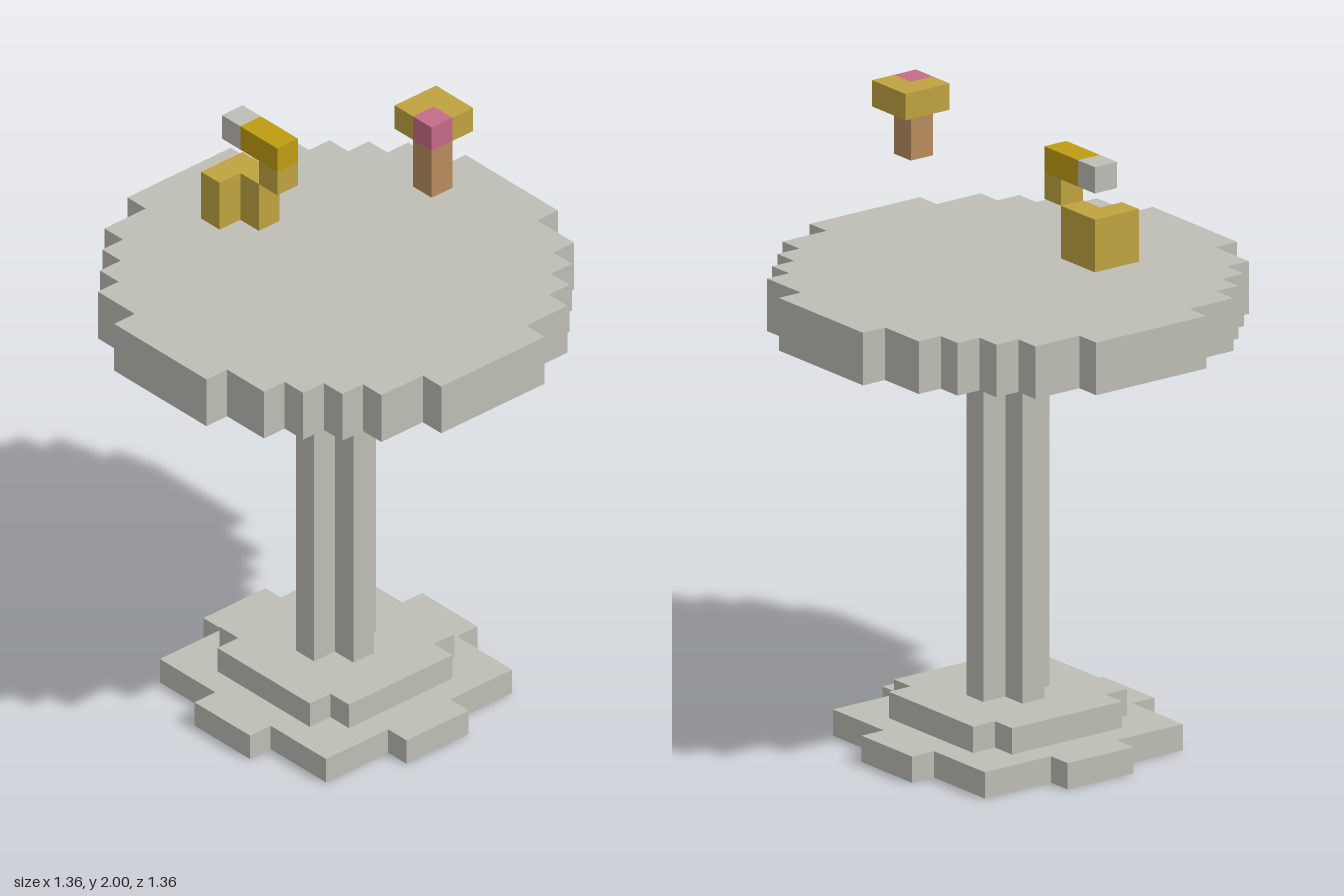
import * as THREE from 'three';

const U = 0.08; // one block

function mat(name, color) {
  const m = new THREE.MeshStandardMaterial({ color });
  m.name = name;
  return m;
}

// Stepped plate, symmetric in x and z. steps: [halfX, halfZ] of overlapping
// rectangles, widest in x first; they form one outline.
function steppedPlate(steps, y0, y1, material, name) {
  const quarter = [];
  steps.forEach(([x, z], i) => {
    quarter.push([x, z]);
    if (i < steps.length - 1) quarter.push([steps[i + 1][0], z]);
  });
  const back = [...quarter].reverse();
  const pts = [
    ...quarter,
    ...back.map(([x, z]) => [-x, z]),
    ...quarter.map(([x, z]) => [-x, -z]),
    ...back.map(([x, z]) => [x, -z]),
  ].map(([x, z]) => new THREE.Vector2(x, z));
  const geo = new THREE.ExtrudeGeometry(new THREE.Shape(pts), { depth: y1 - y0, bevelEnabled: false });
  geo.rotateX(-Math.PI / 2).translate(0, y0, 0);
  const mesh = new THREE.Mesh(geo, material);
  mesh.name = name;
  return mesh;
}

// Box between two corners
function block([x0, y0, z0], [x1, y1, z1], material, name) {
  const mesh = new THREE.Mesh(new THREE.BoxGeometry(x1 - x0, y1 - y0, z1 - z0), material);
  mesh.position.set((x0 + x1) / 2, (y0 + y1) / 2, (z0 + z1) / 2);
  mesh.name = name;
  return mesh;
}

export function createModel() {
  const model = new THREE.Group();
  model.name = 'pedestalTable';
  const stone = mat('stone grey', 0xbebdb5);
  const paleGold = mat('pale gold', 0xc0a340);
  const gold = mat('deep gold', 0xc09c12);
  const pink = mat('pink', 0xc46c88);
  const brown = mat('light brown', 0xb88c5e);

  // Table
  model.add(
    steppedPlate([[0.44, 0.12], [0.36, 0.36], [0.12, 0.44]], 0, U, stone, 'base'),
    steppedPlate([[0.28, 0.2], [0.2, 0.28]], U, 2 * U, stone, 'baseStep'),
    steppedPlate([[0.12, 0.04], [0.04, 0.12]], 2 * U, 1.2, stone, 'column'),
    steppedPlate([[0.2, 0.2]], 1.2, 1.28, stone, 'columnCap'),
    steppedPlate([[0.68, 0.2], [0.6, 0.36], [0.52, 0.44], [0.44, 0.52], [0.36, 0.6], [0.2, 0.68]],
      1.28, 1.44, stone, 'tableTop'),
  );

  // Hooked ornament floating above the left front of the table
  const hook = new THREE.Group();
  hook.name = 'hookOrnament';
  hook.add(
    block([-0.36, 1.52, 0.04], [-0.28, 1.68, 0.2], paleGold, 'hookFoot'),
    block([-0.28, 1.52, 0.04], [-0.2, 1.68, 0.12], paleGold, 'hookFootSide'),
    block([-0.2, 1.68, 0.04], [-0.12, 1.76, 0.12], paleGold, 'hookNeck'),
    block([-0.28, 1.76, 0.04], [-0.12, 1.84, 0.12], gold, 'hookArm'),
    block([-0.36, 1.76, 0.04], [-0.28, 1.84, 0.12], stone, 'hookTip'),
  );

  // Capped ornament floating above the right back
  const capped = new THREE.Group();
  capped.name = 'cappedOrnament';
  capped.add(
    block([0.2, 1.76, -0.2], [0.28, 1.92, -0.12], brown, 'stem'),
    block([0.2, 1.92, -0.2], [0.28, 2, -0.12], pink, 'capCorner'),
    block([0.12, 1.92, -0.28], [0.28, 2, -0.2], paleGold, 'capBack'),
    block([0.12, 1.92, -0.2], [0.2, 2, -0.12], paleGold, 'capSide'),
  );

  model.add(hook, capped);
  return model;
}
